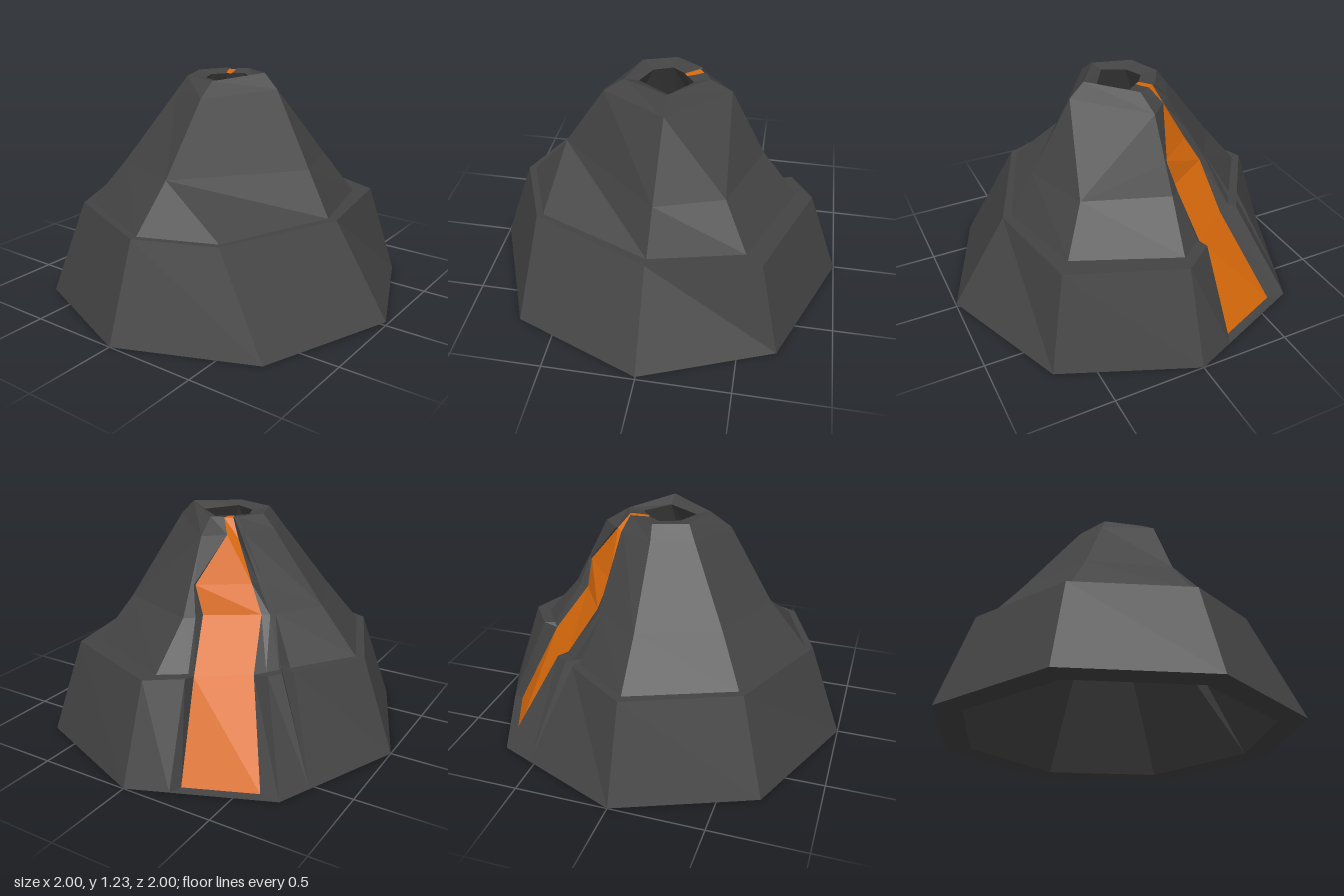
import * as THREE from 'three';

const V = (x, y, z) => new THREE.Vector3(x, y, z);
const mix = (a, b, t) => a.clone().lerp(b, t);

// Eight main corners per ring: right, front-right, front, ... back, back-right
const ring = (y, pts) => pts.map(([x, z, py]) => V(x, py ?? y, z));
const octagon = (r) => Array.from({ length: 8 }, (_, i) => {
  const a = (i * Math.PI) / 4;
  return V(r * Math.cos(a), i === 0 ? 0.02 : 0, r * Math.sin(a));
});

// Doubled corners let two sides meet in one point, which gives the large facets
function mainRings() {
  const skirtTop = ring(0.51, [[0.69, 0], [0.41, 0.65], [0, 0.82], [-0.58, 0.57],
    [-0.82, 0], [-0.5, -0.46], [0, -0.82], [0.59, -0.59]]);
  const coneFoot = ring(0.51, [[0.64, 0], [0.39, 0.62], [0, 0.78], [-0.55, 0.54],
    [-0.77, 0], [-0.47, -0.42], [-0.02, -0.73], [0.52, -0.5]]);
  const coneMid = ring(0.75, [[0.51, -0.01], [0.02, 0.57], [0.02, 0.57], [-0.4, 0.41],
    [-0.57, 0], [-0.4, -0.26], [-0.05, -0.53], [0.39, -0.37]]);
  const shoulder = ring(1.13, [[0.29, -0.03, 1.15], [0.06, 0.33], [0.06, 0.33], [-0.2, 0.2],
    [-0.28, -0.01], [-0.19, -0.2], [-0.04, -0.34], [-0.04, -0.34]]);
  const rim = ring(1.205, [[0.21, -0.03, 1.23], [0.05, 0.22], [0.05, 0.22], [-0.16, 0.16],
    [-0.22, -0.02], [-0.13, -0.17], [-0.02, -0.22], [-0.02, -0.22]]);
  const vent = ring(1.19, [[0.14, -0.03], [0.03, 0.145], [0.03, 0.145], [-0.09, 0.09],
    [-0.13, -0.01], [-0.08, -0.08], [0, -0.14], [0, -0.14]]);
  // Extra step beside the lava only
  const coneHigh = coneMid.map((p, i) => mix(p, shoulder[i], i === 5 || i === 6 ? 0.4 : 0));
  return [octagon(0.85), octagon(1), octagon(1), skirtTop, coneFoot, coneMid, coneHigh,
    shoulder, rim, vent];
}

// Lava bed edges for each ring, from the foot of the skirt to the vent
const LAVA = [
  null,
  null,
  [V(-0.6, 0.005, -0.7), V(-0.24, 0.005, -0.85)],
  [V(-0.41, 0.49, -0.44), V(-0.17, 0.49, -0.62)],
  [V(-0.41, 0.49, -0.44), V(-0.17, 0.49, -0.62)],
  [V(-0.36, 0.75, -0.28), V(-0.11, 0.75, -0.44)],
  [V(-0.28, 0.89, -0.24), V(-0.06, 0.9, -0.43)],
  [V(-0.17, 1.1, -0.19), V(-0.13, 1.13, -0.24)],
  [V(-0.12, 1.2, -0.16), V(-0.08, 1.2, -0.185)],
  [V(-0.08, 1.19, -0.08), V(-0.055, 1.19, -0.095)],
];
// Channel lip, as a share of the way from the back-left to the back corner
const LIP = [0.7, 0.7, 0.7, 0.66, 0.71, 0.86, 0.95, 0.35, 0.42, 0.35];
// Place and half width of the narrow crack beside the channel
const CRACK_AT = [0.75, 0.75, 0.75, 0.8, 0.8, 0.9, 0.9, 0.9, 0.9, 0.9];
const CRACK_WIDTH = [0, 0, 0, 0.06, 0.06, 0, 0, 0, 0, 0];

// Adds the crack and the lava channel to a ring: 14 columns in all
function fullRing(c, i) {
  const t = CRACK_AT[i];
  const w = CRACK_WIDTH[i];
  const floor = mix(c[4], c[5], t);
  if (w) { floor.x *= 0.9; floor.z *= 0.9; }
  const lip = mix(c[5], c[6], LIP[i]);
  const [left, right] = LAVA[i] ?? [mix(c[5], c[6], 0.12), lip];
  return [...c.slice(0, 5), mix(c[4], c[5], t - w), floor, mix(c[4], c[5], t + w),
    c[5], left, right, lip, c[6], c[7]];
}
const LAVA_COL = 9;

// Skins the chosen cells between neighbouring rings with flat faces
function skin(rings, from, to, wanted) {
  const pos = [];
  const tri = (a, b, c) => {
    const area = b.clone().sub(a).cross(c.clone().sub(a)).length();
    if (area > 1e-7) [a, b, c].forEach((p) => pos.push(p.x, p.y, p.z));
  };
  for (let i = from; i < to; i++) {
    const lo = rings[i];
    const hi = rings[(i + 1) % rings.length];
    for (let j = 0; j < lo.length; j++) {
      if (!wanted(j)) continue;
      const k = (j + 1) % lo.length;
      tri(lo[j], hi[j], hi[k]);
      tri(lo[j], hi[k], lo[k]);
    }
  }
  const g = new THREE.BufferGeometry();
  g.setAttribute('position', new THREE.Float32BufferAttribute(pos, 3));
  g.computeVertexNormals();
  return g;
}

export function createModel() {
  const group = new THREE.Group();
  group.name = 'volcano';
  const rock = new THREE.MeshStandardMaterial({ color: 0x444444, flatShading: true });
  const lava = new THREE.MeshStandardMaterial({ color: 0xd96a0c, flatShading: true });
  const rings = mainRings().map(fullRing);

  const add = (name, material, from, to, wanted) => {
    const mesh = new THREE.Mesh(skin(rings, from, to, wanted), material);
    mesh.name = name;
    group.add(mesh);
  };
  const all = () => true;
  const notLava = (j) => j !== LAVA_COL;

  add('undersideRing', rock, 0, 1, all);
  add('channelSill', rock, 1, 2, all);
  add('skirt', rock, 2, 3, notLava);
  add('ledge', rock, 3, 4, notLava);
  add('cone', rock, 4, 7, notLava);
  add('craterRim', rock, 7, 9, notLava);
  add('hollowInside', rock, 9, 10, all);
  add('lavaFlow', lava, 2, 9, (j) => j === LAVA_COL);
  return group;
}
